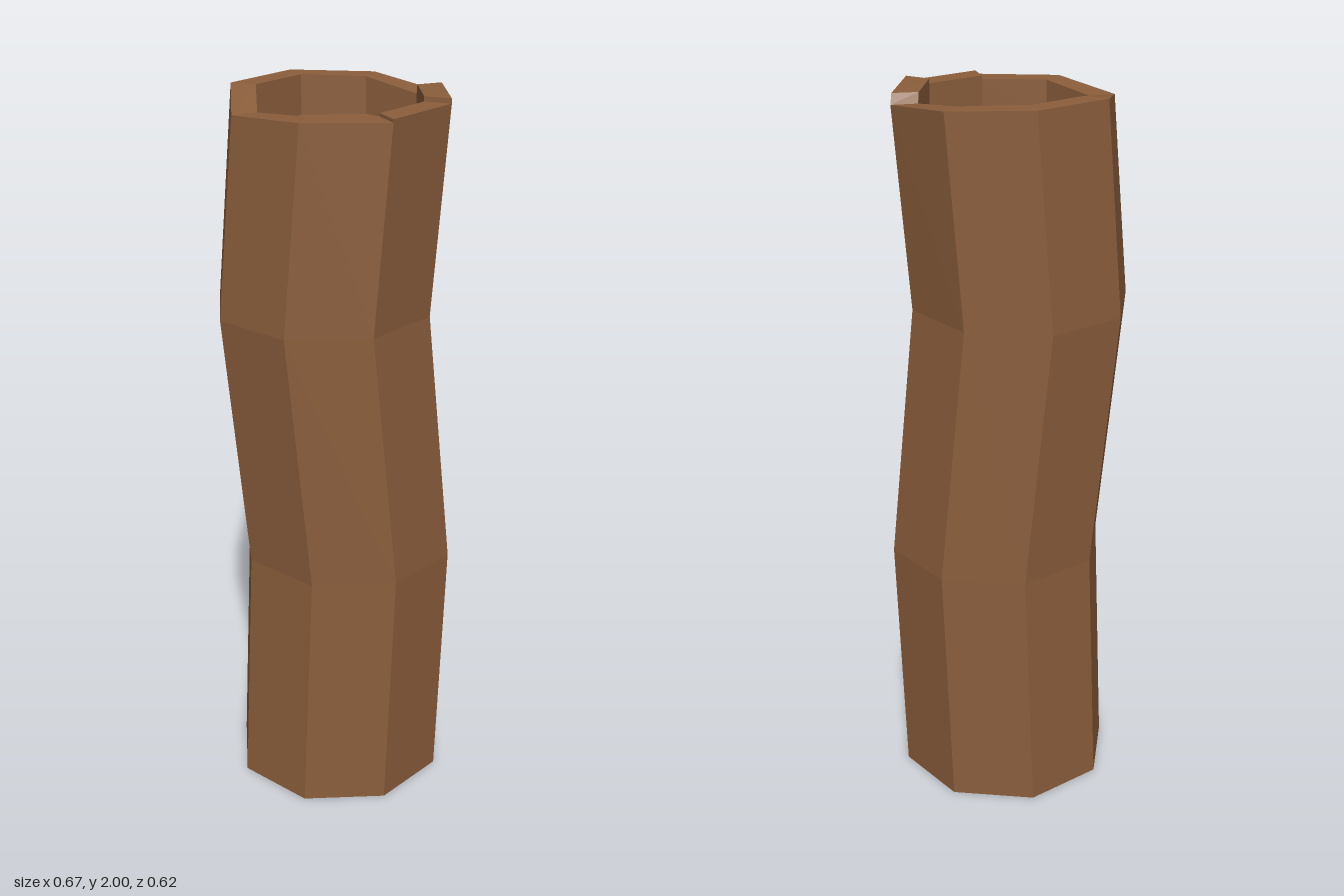
import * as THREE from 'three';

// Rim columns: [angle in degrees from +x towards +z, rim height]; repeated angles make steps
const COLUMNS = [
  [0, 1.97], [3, 1.997], [45, 2], [45, 1.987], [90, 1.987], [90, 1.978],
  [135, 1.98], [180, 1.965], [225, 2], [270, 2], [315, 1.992], [360, 1.97],
];

// Point on an octagon of circumradius r; y = null follows the uneven rim
function ringPoint([deg, rimY], { x, z, r, y }) {
  const a = THREE.MathUtils.degToRad(deg);
  const half = Math.PI / 8;
  const local = a % (Math.PI / 4);
  const d = r * Math.cos(half) / Math.cos(local - half);
  return [x + Math.cos(a) * d, y === null ? rimY : y, z + Math.sin(a) * d];
}

// Flat-shaded skin between successive rings
function loft(name, rings, material) {
  const pos = [];
  for (let k = 0; k < rings.length - 1; k++) {
    for (let i = 0; i < COLUMNS.length - 1; i++) {
      const a = ringPoint(COLUMNS[i], rings[k]);
      const b = ringPoint(COLUMNS[i], rings[k + 1]);
      const c = ringPoint(COLUMNS[i + 1], rings[k + 1]);
      const d = ringPoint(COLUMNS[i + 1], rings[k]);
      pos.push(...a, ...b, ...c, ...a, ...c, ...d);
    }
  }
  const geometry = new THREE.BufferGeometry();
  geometry.setAttribute('position', new THREE.Float32BufferAttribute(pos, 3));
  geometry.computeVertexNormals();
  const mesh = new THREE.Mesh(geometry, material);
  mesh.name = name;
  return mesh;
}

export function createModel() {
  const wood = new THREE.MeshStandardMaterial({ color: 0x8b5e3c });
  wood.name = 'brown wood';

  const ring = (x, z, r, y) => ({ x, z, r, y });
  const R = 0.302;
  const foot = ring(0.007, 0.004, R, 0);
  const rimOuter = ring(0.008, 0.003, R, null);
  const rimInner = ring(0.008, 0.001, 0.23, null);
  const floorEdge = ring(0.008, 0.001, 0.23, 1.89);

  const group = new THREE.Group();
  group.name = 'hollowLog';
  group.add(
    // Underside
    loft('base', [ring(0.007, 0.004, 0, 0), foot], wood),
    // Gently swaying trunk
    loft('trunk', [foot, ring(0.032, 0.01, R, 0.7), ring(-0.034, -0.01, R, 1.42), rimOuter], wood),
    // Uneven, stepped rim
    loft('rim', [rimOuter, rimInner], wood),
    // Shallow hollow at the top
    loft('hollowWall', [rimInner, floorEdge], wood),
    loft('hollowFloor', [floorEdge, ring(0.008, 0.001, 0, 1.89)], wood),
  );
  return group;
}
